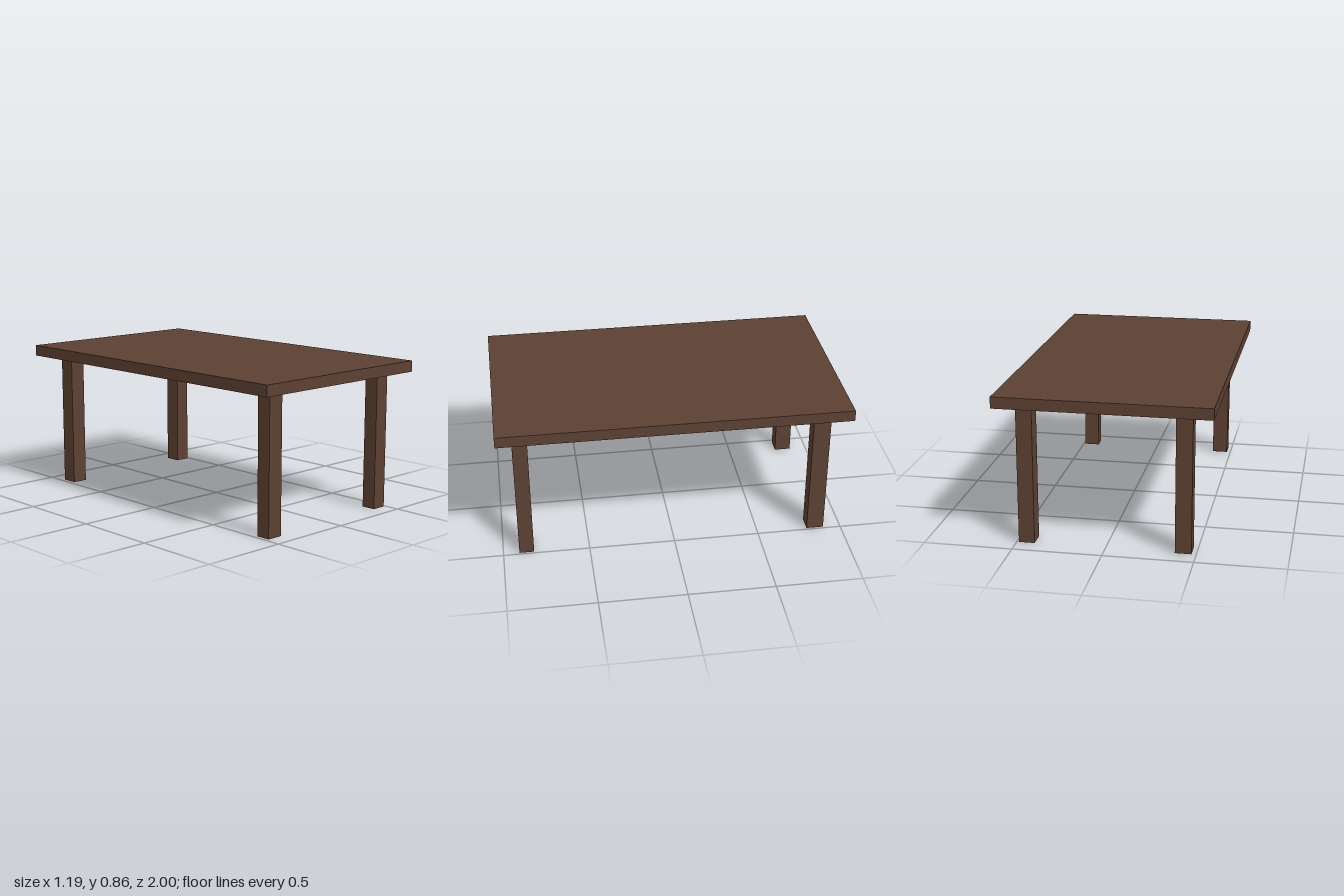
import * as THREE from 'three';

export function createModel() {
  const table = new THREE.Group();
  table.name = 'table';
  const wood = new THREE.MeshStandardMaterial({ color: 0x5c4033 });

  // Box spanning the given minimum and maximum on each axis
  function block(name, [x0, x1], [y0, y1], [z0, z1]) {
    const mesh = new THREE.Mesh(new THREE.BoxGeometry(x1 - x0, y1 - y0, z1 - z0), wood);
    mesh.position.set((x0 + x1) / 2, (y0 + y1) / 2, (z0 + z1) / 2);
    mesh.name = name;
    table.add(mesh);
  }

  const legHeight = 0.797;
  block('tabletop', [-0.595, 0.595], [legHeight, 0.861], [-1, 1]);

  // Four legs, set slightly unevenly under the top
  const legs = {
    frontLeftLeg: [[0.399, 0.488], [0.823, 0.908]],
    frontRightLeg: [[-0.478, -0.384], [0.823, 0.908]],
    backLeftLeg: [[0.399, 0.488], [-0.898, -0.798]],
    backRightLeg: [[-0.474, -0.383], [-0.896, -0.798]],
  };
  for (const [name, [x, z]] of Object.entries(legs)) block(name, x, [0, legHeight], z);

  return table;
}
